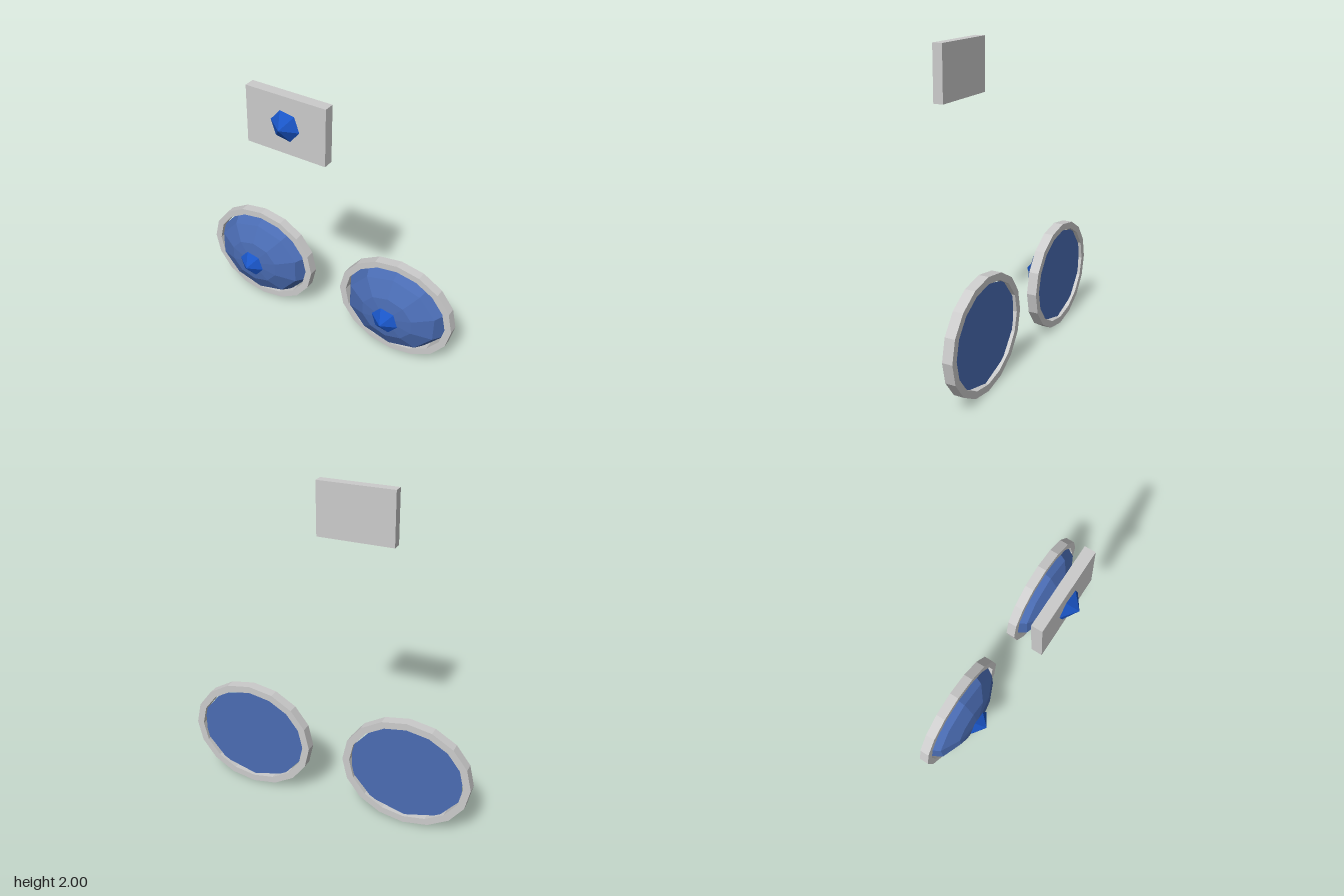
import * as THREE from 'three';

const grey = new THREE.MeshStandardMaterial({ color: 0xcccccc, flatShading: true });
const domeBlue = new THREE.MeshStandardMaterial({ color: 0x4a6cb3, flatShading: true });
const tipBlue = new THREE.MeshStandardMaterial({ color: 0x1a56c8, flatShading: true });

function addMesh(parent, name, geometry, material, x, y, z) {
  const mesh = new THREE.Mesh(geometry, material);
  mesh.name = name;
  mesh.position.set(x, y, z);
  parent.add(mesh);
  return mesh;
}

// Points of an oval with straight sides
function oval(rx, ry, sides) {
  return Array.from({ length: sides }, (_, i) => {
    const a = (i / sides) * Math.PI * 2;
    return new THREE.Vector2(rx * Math.cos(a), ry * Math.sin(a));
  });
}

// Flat oval frame, 16 sides
function rimGeometry() {
  const shape = new THREE.Shape(oval(0.42, 0.365, 16));
  shape.holes.push(new THREE.Path(oval(0.373, 0.32, 16).reverse()));
  return new THREE.ExtrudeGeometry(shape, { depth: 0.065, bevelEnabled: false });
}

// Half ellipsoid with a closed back, bulging towards +z
function domeGeometry() {
  const profile = [new THREE.Vector2(0, 0)];
  for (let i = 0; i <= 3; i++) {
    const a = (i / 3) * Math.PI / 2;
    profile.push(new THREE.Vector2(i === 3 ? 0 : Math.cos(a), Math.sin(a)));
  }
  return new THREE.LatheGeometry(profile, 10).rotateX(Math.PI / 2).scale(0.379, 0.319, 0.17);
}

// Six-sided point facing +z, base at z = 0
function tipGeometry() {
  return new THREE.ConeGeometry(0.097, 0.067, 6)
    .rotateX(Math.PI / 2)
    .rotateZ(Math.PI / 9)
    .translate(0, 0, 0.0335);
}

export function createModel() {
  const model = new THREE.Group();
  model.name = 'model';

  // Two matching domed ovals at the bottom
  for (const [name, x] of [['leftDisc', 0.538], ['rightDisc', -0.538]]) {
    const disc = new THREE.Group();
    disc.name = name;
    disc.position.set(x, 0.365, 0);
    addMesh(disc, 'rim', rimGeometry(), grey, 0, 0, -0.295);
    addMesh(disc, 'dome', domeGeometry(), domeBlue, 0, 0, -0.275);
    addMesh(disc, 'domeTip', tipGeometry(), tipBlue, 0, 0, -0.1);
    model.add(disc);
  }

  // Upper plate with its own point
  const upper = new THREE.Group();
  upper.name = 'upperPlate';
  addMesh(upper, 'plate', new THREE.BoxGeometry(0.526, 0.36, 0.067), grey, 0, 1.82, 0.191);
  addMesh(upper, 'plateTip', tipGeometry(), tipBlue, 0, 1.82, 0.228);
  model.add(upper);

  return model;
}
